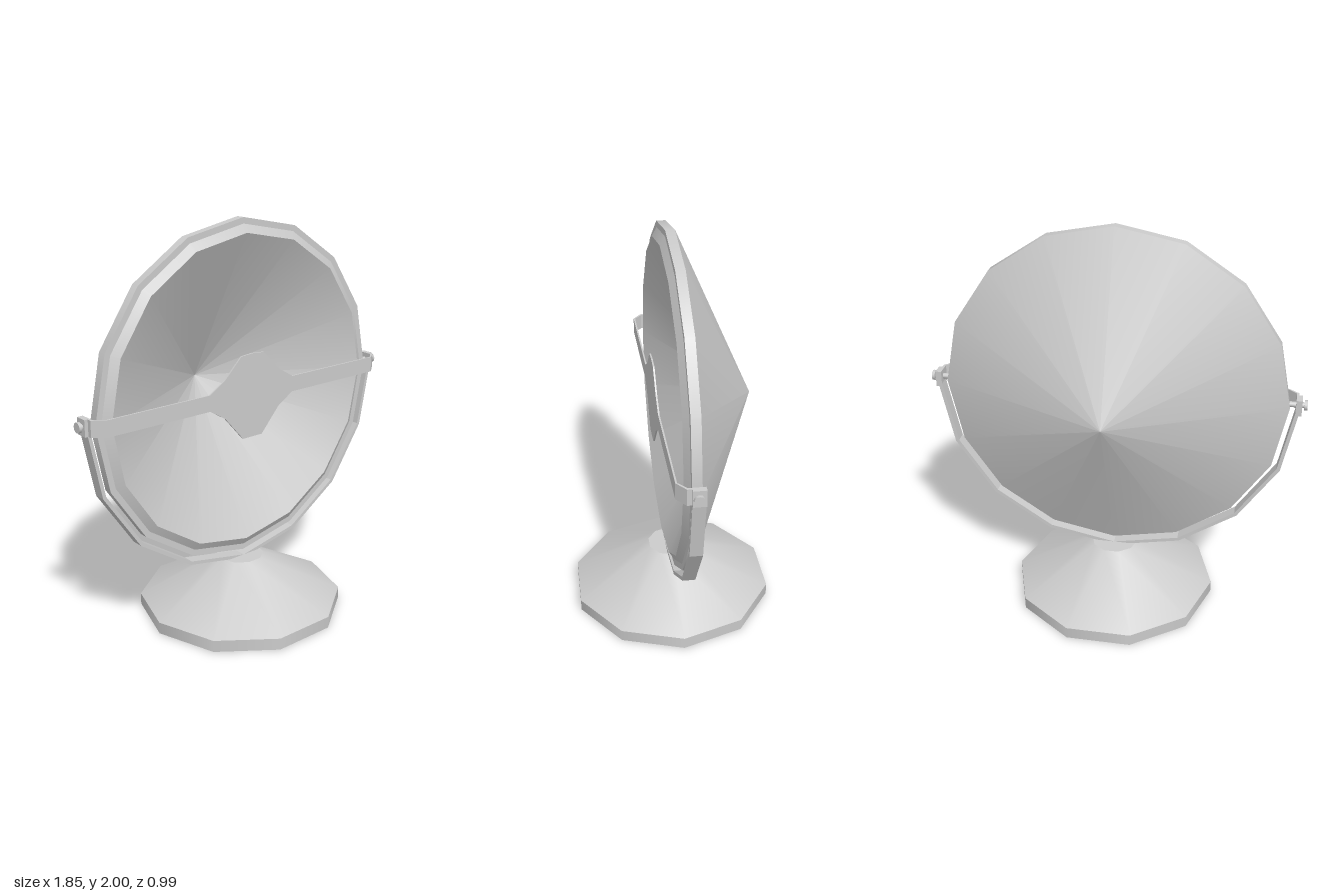
import * as THREE from 'three';

const grey = new THREE.MeshStandardMaterial({ color: 0xcccccc, side: THREE.DoubleSide });
const AXIS_Y = 1.155; // height of the dish centre

function add(parent, name, geometry) {
  const mesh = new THREE.Mesh(geometry, grey);
  mesh.name = name;
  parent.add(mesh);
  return mesh;
}

// Each profile section is its own lathe, so edges between sections stay sharp
function lathe(parent, name, profile, sides, phiStart = 0) {
  const group = new THREE.Group();
  group.name = name;
  for (let i = 0; i < profile.length - 1; i++) {
    const pts = [profile[i], profile[i + 1]].map(p => new THREE.Vector2(...p));
    add(group, name + 'Section', new THREE.LatheGeometry(pts, sides, phiStart));
  }
  parent.add(group);
  return group;
}

function extrude(points, depth) {
  const shape = new THREE.Shape(points.map(p => new THREE.Vector2(...p)));
  return new THREE.ExtrudeGeometry(shape, { depth, bevelEnabled: false });
}

export function createModel() {
  const model = new THREE.Group();
  model.name = 'dishOnStand';

  // Ten-sided base, hollow underneath
  lathe(model, 'base', [[0.52, 0], [0.52, 0.06], [0.12, 0.28], [0, 0.28]], 10, Math.PI / 2);

  // Sixteen-sided dish: rear cone, rim band, front bevel, inner cone
  const dish = lathe(model, 'dish', [
    [0, -0.39], [0.845, -0.02], [0.845, 0.025], [0.815, 0.025], [0.775, 0.05], [0, -0.37],
  ], 16);
  dish.rotation.x = Math.PI / 2;
  dish.position.y = AXIS_Y;

  // Yoke: flat strap following the lower half of the dish, with upright ends
  const arc = r => {
    const pts = [];
    for (let i = 0; i <= 8; i++) {
      const a = Math.PI + (i * Math.PI) / 8;
      pts.push([r * Math.cos(a), AXIS_Y + r * Math.sin(a)]);
    }
    return [[-r, 1.205], ...pts, [r, 1.205]];
  };
  const yoke = add(model, 'yoke', extrude([...arc(0.893), ...arc(0.875).reverse()], 0.06));
  yoke.position.z = -0.03;

  // Front bar with a widened shield in the middle
  const upper = [[0.83, 0.04], [0.26, 0.04], [0.17, 0.095], [0.07, 0.195], [0, 0.2]]
    .map(([x, y]) => [x, y + 1.165]);
  const lower = [[0.06, 0.945], [0.17, 1.07], [0.26, 1.125], [0.83, 1.125]];
  const mirror = pts => pts.map(([x, y]) => [-x, y]).reverse();
  const bar = add(model, 'frontBar',
    extrude([...upper, ...mirror(upper).slice(1), ...mirror(lower), ...lower], 0.008));
  bar.position.z = 0.086;

  for (const s of [1, -1]) {
    const side = s > 0 ? 'left' : 'right';

    // Bar end bent back to the pivot
    const bend = [[0.83, 0.094], [0.884, 0.052], [0.884, -0.03], [0.872, -0.03], [0.872, 0.048], [0.828, 0.086]];
    const end = extrude(bend.map(([x, z]) => [s * x, -z]), 0.08);
    end.rotateX(-Math.PI / 2);
    add(model, side + 'BarEnd', end).position.y = 1.125;

    // Pivot clamp outside the yoke
    add(model, side + 'Clamp', new THREE.BoxGeometry(0.022, 0.08, 0.06))
      .position.set(s * 0.89, 1.165, 0);

    // Pivot pin with a small knob
    const pin = add(model, side + 'Pin', new THREE.CylinderGeometry(0.014, 0.014, 0.1, 10));
    pin.rotation.z = Math.PI / 2;
    pin.position.set(s * 0.87, 1.168, 0.005);
    const knob = add(model, side + 'Knob', new THREE.CylinderGeometry(0.025, 0.025, 0.014, 12));
    knob.rotation.z = Math.PI / 2;
    knob.position.set(s * 0.919, 1.168, 0.005);
  }

  return model;
}
